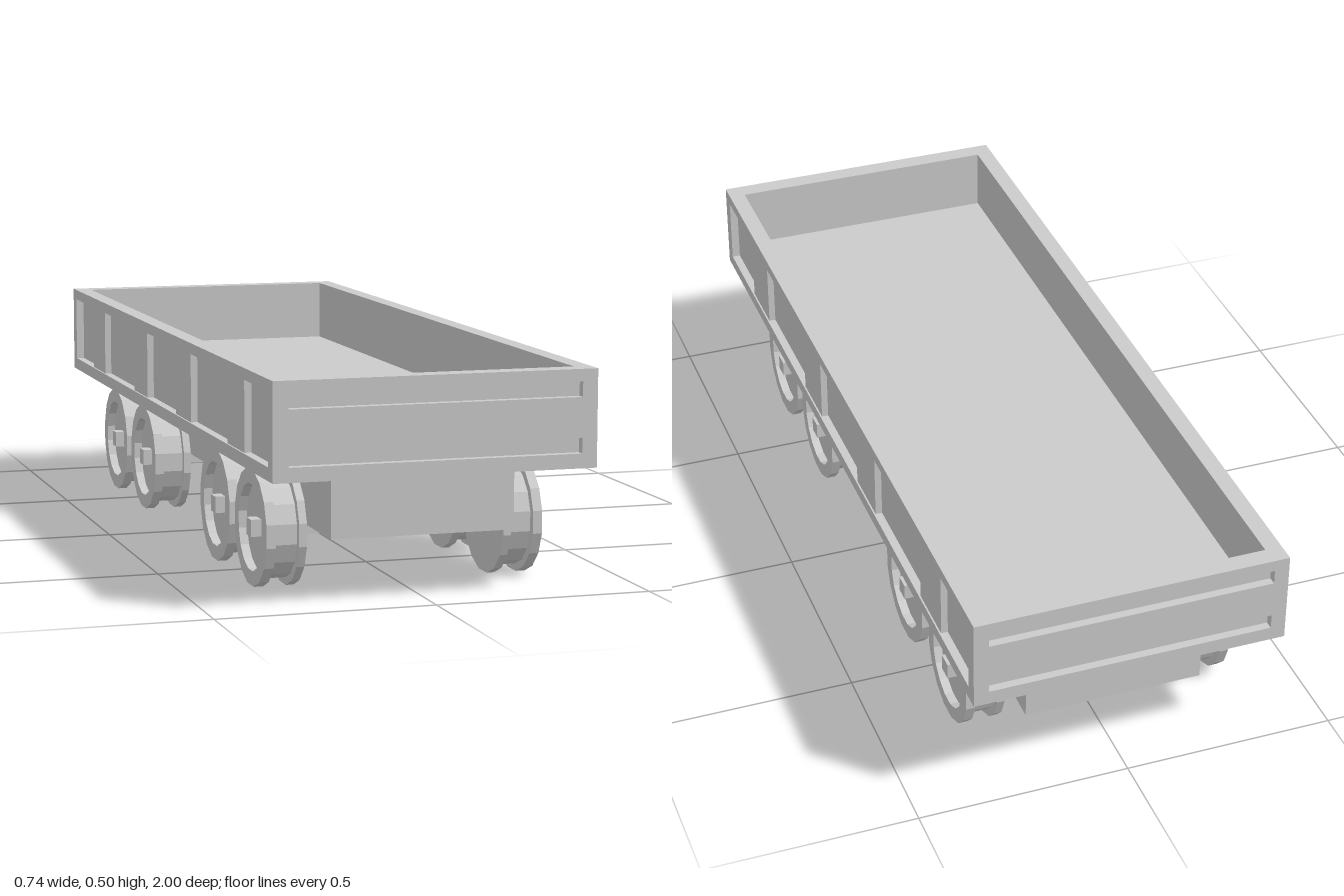
import * as THREE from 'three';

const material = new THREE.MeshStandardMaterial({ color: 0xcccccc, flatShading: true });

function add(parent, name, geometry, x = 0, y = 0, z = 0) {
  const mesh = new THREE.Mesh(geometry, material);
  mesh.name = name;
  mesh.position.set(x, y, z);
  parent.add(mesh);
  return mesh;
}

function rect(Type, x0, y0, x1, y1) {
  const path = new Type();
  path.moveTo(x0, y0).lineTo(x1, y0).lineTo(x1, y1).lineTo(x0, y1).closePath();
  return path;
}

// Extruded rectangle with rectangular openings
function framed(outer, holes, depth) {
  const shape = rect(THREE.Shape, ...outer);
  shape.holes = holes.map((h) => rect(THREE.Path, ...h));
  return new THREE.ExtrudeGeometry(shape, { depth, bevelEnabled: false });
}

const W = 0.37, BOTTOM = 0.285, TOP = 0.505, FLOOR = 0.353;
const SKIN = 0.02; // depth of the recessed panels

function createBody() {
  const body = new THREE.Group();
  body.name = 'wagonBody';

  // Open tub: wall ring plus floor
  const ring = framed([-W + SKIN, -1 + SKIN, W - SKIN, 1 - SKIN], [[-0.33, -0.955, 0.33, 0.955]], TOP - BOTTOM);
  ring.rotateX(-Math.PI / 2);
  add(body, 'tubWalls', ring, 0, BOTTOM, 0);
  add(body, 'floor', new THREE.BoxGeometry(0.66, FLOOR - BOTTOM, 1.91), 0, (FLOOR + BOTTOM) / 2, 0);

  // Outer frames with recesses, and the side posts
  const endFrame = framed([-W, BOTTOM, W, TOP],
    [[-0.335, 0.318, 0.335, 0.353], [-0.335, 0.443, 0.335, 0.477]], SKIN);
  const sideFrame = framed([-1 + SKIN, BOTTOM, 1 - SKIN, TOP], [[-0.965, 0.315, 0.965, 0.479]], SKIN);
  for (const s of [1, -1]) {
    add(body, 'endFrame', endFrame, 0, 0, s * (1 - SKIN)).rotation.y = s > 0 ? 0 : Math.PI;
    add(body, 'sideFrame', sideFrame, s * (W - SKIN), 0, 0).rotation.y = s * Math.PI / 2;
    for (const z of [0.69, 0.218, -0.218, -0.697]) {
      add(body, 'sidePost', new THREE.BoxGeometry(0.016, 0.164, 0.143), s * (W - SKIN + 0.008), 0.397, z);
    }
  }
  return body;
}

// Double-flanged wheel with a dished outer face; local +y points outward
function wheelGeometry() {
  const R = 0.1345, hub = 0.117, dish = 0.1;
  const profile = [
    [0, 0], [R, 0], [R, 0.018], [hub, 0.018], [hub, 0.071],
    [R, 0.071], [R, 0.093], [dish, 0.093], [dish, 0.073], [0, 0.073],
  ].map(([x, y]) => new THREE.Vector2(x, y));
  return new THREE.LatheGeometry(profile, 16, Math.PI / 16);
}

export function createModel() {
  const model = new THREE.Group();
  model.name = 'flatWagon';
  model.add(createBody());
  add(model, 'chassis', new THREE.BoxGeometry(0.424, 0.146, 1.81), 0, 0.212, 0.003);

  // Wheelsets
  const wheel = wheelGeometry();
  for (const z of [0.675, 0.365, -0.355, -0.67]) {
    const set = new THREE.Group();
    set.name = 'wheelset';
    set.position.set(0, 0.132, z);
    add(set, 'axle', new THREE.BoxGeometry(0.658, 0.039, 0.039), -0.004, 0, 0);
    add(set, 'rightWheel', wheel, -0.236, 0, 0).rotation.z = Math.PI / 2;
    add(set, 'leftWheel', wheel, 0.226, 0, 0).rotation.z = -Math.PI / 2;
    model.add(set);
  }
  return model;
}
